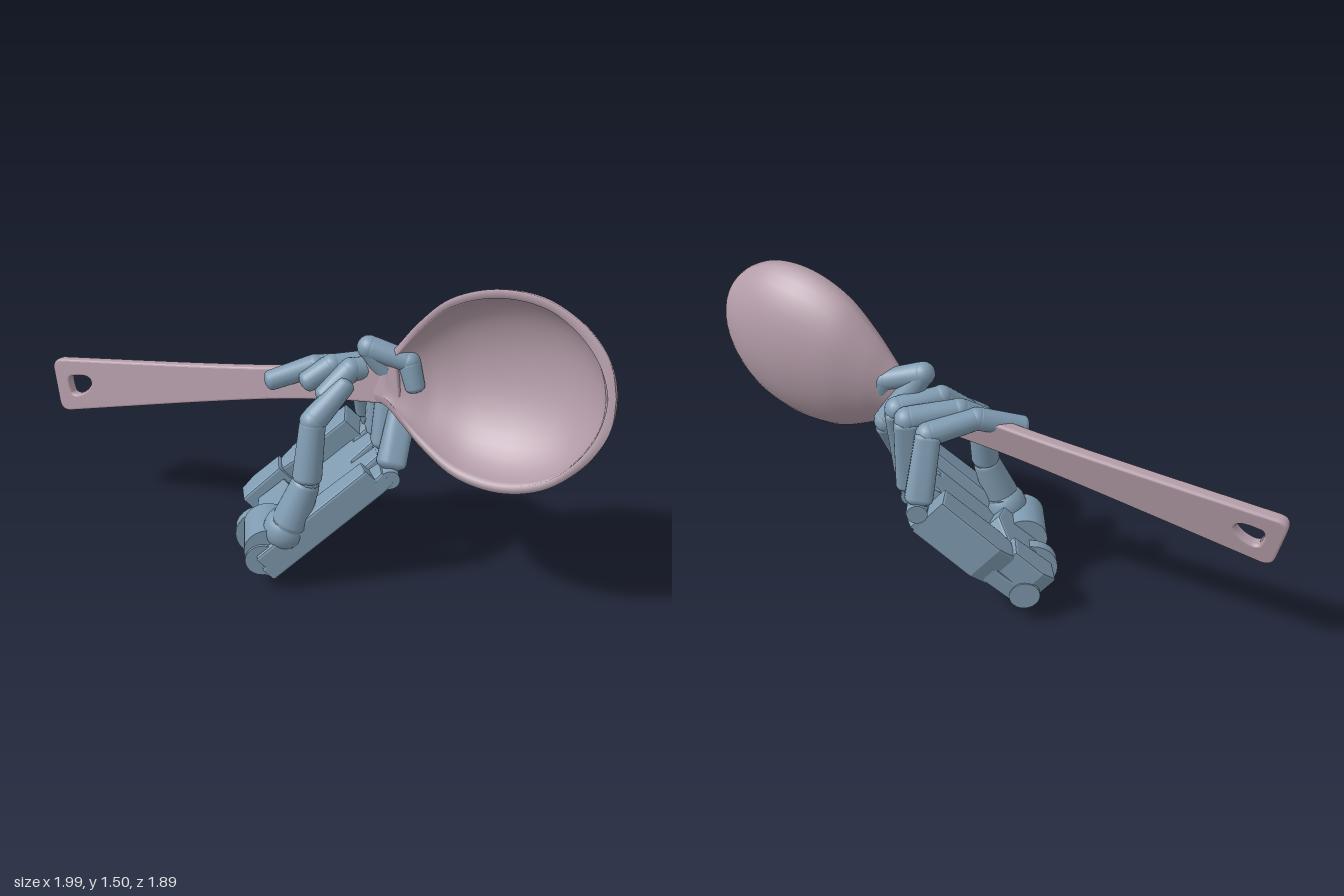
import * as THREE from 'three';

const V = (x, y, z) => new THREE.Vector3(x, y, z);
const handMat = new THREE.MeshStandardMaterial({ color: 0x7f9bb1 });
const spoonMat = new THREE.MeshStandardMaterial({ color: 0xb39ca8 });

function add(parent, name, geometry, material = handMat) {
  const mesh = new THREE.Mesh(geometry, material);
  mesh.name = name;
  parent.add(mesh);
  return mesh;
}

// Right-handed frame: x along, y across, z = along x across
function frame(origin, along, across) {
  const x = along.clone().normalize();
  const z = x.clone().cross(across).normalize();
  const y = z.clone().cross(x);
  return new THREE.Matrix4().makeBasis(x, y, z).setPosition(origin);
}

function framedGroup(name, matrix) {
  const g = new THREE.Group();
  g.name = name;
  matrix.decompose(g.position, g.quaternion, g.scale);
  return g;
}

// Tapered, round-ended finger link from a to b; boxy links get a rounded-square section
function link(parent, name, a, b, r0, r1, boxy = false) {
  const dir = b.clone().sub(a), L = dir.length(), pts = [];
  for (let i = 0; i <= 5; i++) {
    const t = (i / 5) * Math.PI / 2;
    pts.push(new THREE.Vector2(r0 * Math.sin(t), r0 * 0.6 * (1 - Math.cos(t)) - r0 * 0.3));
  }
  for (let i = 5; i >= 0; i--) {
    const t = (i / 5) * Math.PI / 2;
    pts.push(new THREE.Vector2(r1 * Math.sin(t), L + r1 * 0.3 - r1 * 0.6 * (1 - Math.cos(t))));
  }
  const geo = new THREE.LatheGeometry(pts, 24);
  if (boxy) {
    const p = geo.attributes.position;
    for (let i = 0; i < p.count; i++) {
      const x = p.getX(i), z = p.getZ(i), r = Math.hypot(x, z) || 1;
      const k = Math.pow((x / r) ** 4 + (z / r) ** 4 || 1, -0.25);
      p.setXYZ(i, x * k, p.getY(i), z * k);
    }
    geo.rotateY(-0.27);
    geo.computeVertexNormals();
  }
  const m = add(parent, name, geo);
  m.position.copy(a);
  m.quaternion.setFromUnitVectors(V(0, 1, 0), dir.normalize());
}

// Hinge barrel lying along a given axis
function hinge(parent, name, at, axis, r, len) {
  const m = add(parent, name, new THREE.CylinderGeometry(r, r, len, 24));
  m.position.copy(at);
  m.quaternion.setFromUnitVectors(V(0, 1, 0), axis.clone().normalize());
}

function makeHandle() {
  const g = framedGroup('spoonHandle', frame(V(-0.97, 0.64, -0.893), V(1.28, 0.32, 1.04), V(-0.06, 0.96, -0.25)));
  const s = new THREE.Shape();
  s.moveTo(0.04, -0.12);
  s.bezierCurveTo(0.4, -0.1, 0.8, -0.075, 1.1, -0.066);
  s.bezierCurveTo(1.35, -0.06, 1.55, -0.07, 1.74, -0.095);
  s.lineTo(1.74, 0.085);
  s.bezierCurveTo(1.55, 0.065, 1.35, 0.06, 1.1, 0.066);
  s.bezierCurveTo(0.8, 0.075, 0.4, 0.1, 0.04, 0.12);
  s.quadraticCurveTo(0, 0.12, 0, 0.08);
  s.lineTo(0, -0.08);
  s.quadraticCurveTo(0, -0.12, 0.04, -0.12);
  // Hanging hole
  const h = new THREE.Path();
  h.moveTo(0.06, -0.04);
  h.quadraticCurveTo(0.04, 0.06, 0.1, 0.055);
  h.quadraticCurveTo(0.21, 0.065, 0.2, 0.0);
  h.quadraticCurveTo(0.17, -0.05, 0.1, -0.06);
  h.quadraticCurveTo(0.07, -0.06, 0.06, -0.04);
  s.holes.push(h);
  const geo = new THREE.ExtrudeGeometry(s, {
    depth: 0.02, bevelThickness: 0.018, bevelSize: 0.012, bevelSegments: 4, curveSegments: 12,
  });
  geo.translate(0, 0, -0.01);
  add(g, 'handleBlade', geo, spoonMat);
  return g;
}

// Bowl lofted along its length: outer arc, then inner arc back
function makeBowl() {
  const g = framedGroup('spoonBowl', frame(V(0.3, 0.958, 0.145), V(0.66, 0.2, 0.77), V(0.037, 0.956, -0.291)));
  // x = distance from neck, y = half width, z = depth below the rim
  const curve = new THREE.CatmullRomCurve3([
    V(-0.06, 0.075, 0.05), V(0.02, 0.1, 0.065), V(0.1, 0.17, 0.11), V(0.2, 0.265, 0.175), V(0.36, 0.375, 0.25),
    V(0.56, 0.418, 0.28), V(0.74, 0.39, 0.253), V(0.88, 0.305, 0.19), V(0.97, 0.205, 0.12),
    V(1.015, 0.11, 0.06), V(1.03, 0, 0.02),
  ]);
  const rows = 60, arc = 20, n = arc * 2 + 2, pos = [], idx = [];
  for (let i = 0; i <= rows; i++) {
    const c = curve.getPoint(i / rows);
    const hw = Math.max(c.y, 0), d = c.z;
    const lip = Math.min(0.035, hw * 0.35);
    const inner = Math.max(d - 0.028 - 0.04 * Math.max(0, 1 - c.x / 0.2), 0);
    // The rim bows toward the open side between neck and tip
    const lift = 0.02 + 0.045 * Math.sin(Math.PI * Math.min(Math.max(c.x / 1.03, 0), 1));
    const innerX = c.x - 0.03 * Math.max(0, (c.x - 0.8) / 0.23);
    for (let j = 0; j <= arc; j++) {
      const t = (j / arc) * Math.PI;
      pos.push(c.x, hw * Math.cos(t), lift - d * Math.sin(t));
    }
    for (let j = arc; j >= 0; j--) {
      const t = (j / arc) * Math.PI;
      pos.push(innerX, (hw - lip) * Math.cos(t), lift + 0.006 - inner * Math.sin(t));
    }
  }
  for (let i = 0; i < rows; i++) for (let j = 0; j < n; j++) {
    const a = i * n + j, b = i * n + (j + 1) % n;
    idx.push(a, a + n, b, b, a + n, b + n);
  }
  const geo = new THREE.BufferGeometry();
  geo.setAttribute('position', new THREE.Float32BufferAttribute(pos, 3));
  geo.setIndex(idx);
  geo.computeVertexNormals();
  add(g, 'bowlShell', geo, spoonMat);
  return g;
}

// Palm space: x toward the knuckles, y toward the little finger, z out of the palm
const across = V(0.27, 0, -0.96);
const palmFrame = frame(V(-0.125, 0.08, -0.065), V(0.7, 0.685, 0.2), across);

function slab(parent, name, outline, z, depth) {
  const s = new THREE.Shape(outline.map(([x, y]) => new THREE.Vector2(x, y)));
  const b = 0.012;
  const geo = new THREE.ExtrudeGeometry(s, {
    depth: depth - 2 * b, bevelThickness: b, bevelSize: b, bevelOffset: -b, bevelSegments: 2,
  });
  geo.translate(0, 0, z + b);
  add(parent, name, geo);
}

function makePalm() {
  const g = framedGroup('palm', palmFrame);
  // Back plate with knuckle slots and wrist notches
  slab(g, 'backPlate', [
    [-0.02, -0.3], [-0.02, -0.21], [0.04, -0.2], [0.04, -0.18], [-0.02, -0.17], [-0.02, -0.1], [0.02, -0.08],
    [0.02, 0.13], [-0.01, 0.14], [-0.01, 0.19], [0.05, 0.2], [0.05, 0.23], [0, 0.24], [0, 0.28],
    [0.3, 0.28], [0.66, 0.27], [0.69, 0.2], [0.69, 0.15], [0.58, 0.135], [0.58, 0.125], [0.7, 0.1], [0.7, 0.0],
    [0.55, -0.015], [0.55, -0.03], [0.7, -0.05], [0.7, -0.14], [0.55, -0.155], [0.55, -0.17], [0.7, -0.19],
    [0.7, -0.29], [0.64, -0.3],
  ], 0, 0.085);
  // Raised side walls and heel
  slab(g, 'indexSideWall', [[0, -0.3], [0.66, -0.3], [0.64, -0.2], [0.2, -0.17], [0, -0.15]], 0.06, 0.085);
  slab(g, 'littleFingerMetacarpal', [[0.22, 0.17], [0.3, 0.15], [0.62, 0.14], [0.64, 0.27], [0.3, 0.3], [0.2, 0.27]], -0.01, 0.2);
  slab(g, 'heelBlock', [[0, -0.16], [0.2, -0.18], [0.26, -0.02], [0.2, 0.14], [0.03, 0.15]], 0.06, 0.1);
  slab(g, 'littleSideHeel', [[-0.02, 0.14], [0.22, 0.15], [0.22, 0.27], [0.05, 0.28], [-0.03, 0.25]], 0.05, 0.16);
  // Round wrist lugs, heel roll and the large wrist wheel
  const side = V(0, 1, 0);
  for (const y of [-0.255, -0.135, 0.165, 0.255]) hinge(g, 'wristLug', V(0.03, y, 0.065), side, 0.07, 0.06);
  hinge(g, 'heelRoll', V(0.01, -0.235, 0.11), side, 0.08, 0.1);
  hinge(g, 'wristWheel', V(-0.025, 0.02, 0.075), side, 0.125, 0.05);
  hinge(g, 'wristAxle', V(0, -0.01, 0.09), side, 0.035, 0.52);
  return g;
}

function makeFinger(name, pts, r) {
  const g = new THREE.Group();
  g.name = name;
  const start = pts[0].clone().lerp(pts[1], 0.1);
  hinge(g, 'knuckleBarrel', pts[0], across, 0.045, 0.1);
  link(g, 'knuckleFork', pts[0], start, 0.035, 0.035);
  link(g, 'proximalLink', start, pts[1], r, r * 0.9, true);
  const labels = ['middleLink', 'distalLink', 'fingertip'];
  for (let i = 1; i < pts.length - 1; i++) {
    const k = r * (0.94 - 0.06 * i);
    link(g, labels[i - 1], pts[i], pts[i + 1], k, k * 0.9);
    add(g, 'fingerJoint', new THREE.SphereGeometry(k, 16, 12)).position.copy(pts[i]);
  }
  return g;
}

function makeThumb() {
  const g = new THREE.Group();
  g.name = 'thumb';
  // Stacked rotating base at the wrist
  add(g, 'thumbBall', new THREE.SphereGeometry(0.1, 24, 16)).position.set(-0.15, 0.3, 0.16);
  hinge(g, 'thumbTurntable', V(-0.21, 0.21, 0.08), across, 0.11, 0.22);
  hinge(g, 'thumbCollar', V(-0.14, 0.31, 0.17), V(0.15, 0.95, 0.1), 0.085, 0.1);
  const pts = [V(-0.14, 0.33, 0.18), V(-0.06, 0.55, 0.19), V(-0.02, 0.82, 0.15), V(0.15, 0.96, 0.11)];
  link(g, 'thumbLower', pts[0], pts[1], 0.085, 0.065);
  link(g, 'thumbUpper', pts[1], pts[2], 0.066, 0.058);
  link(g, 'thumbTip', pts[2], pts[3], 0.058, 0.045);
  for (const p of [pts[1], pts[2]]) add(g, 'thumbJoint', new THREE.SphereGeometry(0.058, 16, 12)).position.copy(p);
  return g;
}

export function createModel() {
  const model = new THREE.Group();
  model.name = 'mechanicalHandWithSpoon';
  const spoon = new THREE.Group();
  spoon.name = 'spoon';
  spoon.add(makeHandle(), makeBowl());
  const hand = new THREE.Group();
  hand.name = 'hand';
  hand.add(makePalm(), makeThumb());
  // Fingers rise from the knuckles and wrap over the spoon neck
  hand.add(
    makeFinger('indexFinger', [V(0.28, 0.58, 0.3), V(0.41, 0.88, 0.15), V(0.25, 1.11, 0.1), V(0.4, 1.06, 0.19), V(0.42, 0.94, 0.23)], 0.064),
    makeFinger('middleFinger', [V(0.32, 0.59, 0.14), V(0.38, 0.98, 0.06), V(0.18, 1.0, 0.07), V(0.04, 0.89, 0.09)], 0.064),
    makeFinger('ringFinger', [V(0.35, 0.59, 0), V(0.36, 0.97, -0.02), V(0.13, 0.98, -0.03), V(0.0, 0.91, -0.03)], 0.064),
    makeFinger('littleFinger', [V(0.37, 0.62, -0.18), V(0.29, 0.93, -0.1), V(0.07, 0.96, -0.09), V(-0.14, 0.9, -0.12)], 0.062),
  );
  model.add(spoon, hand);
  return model;
}
